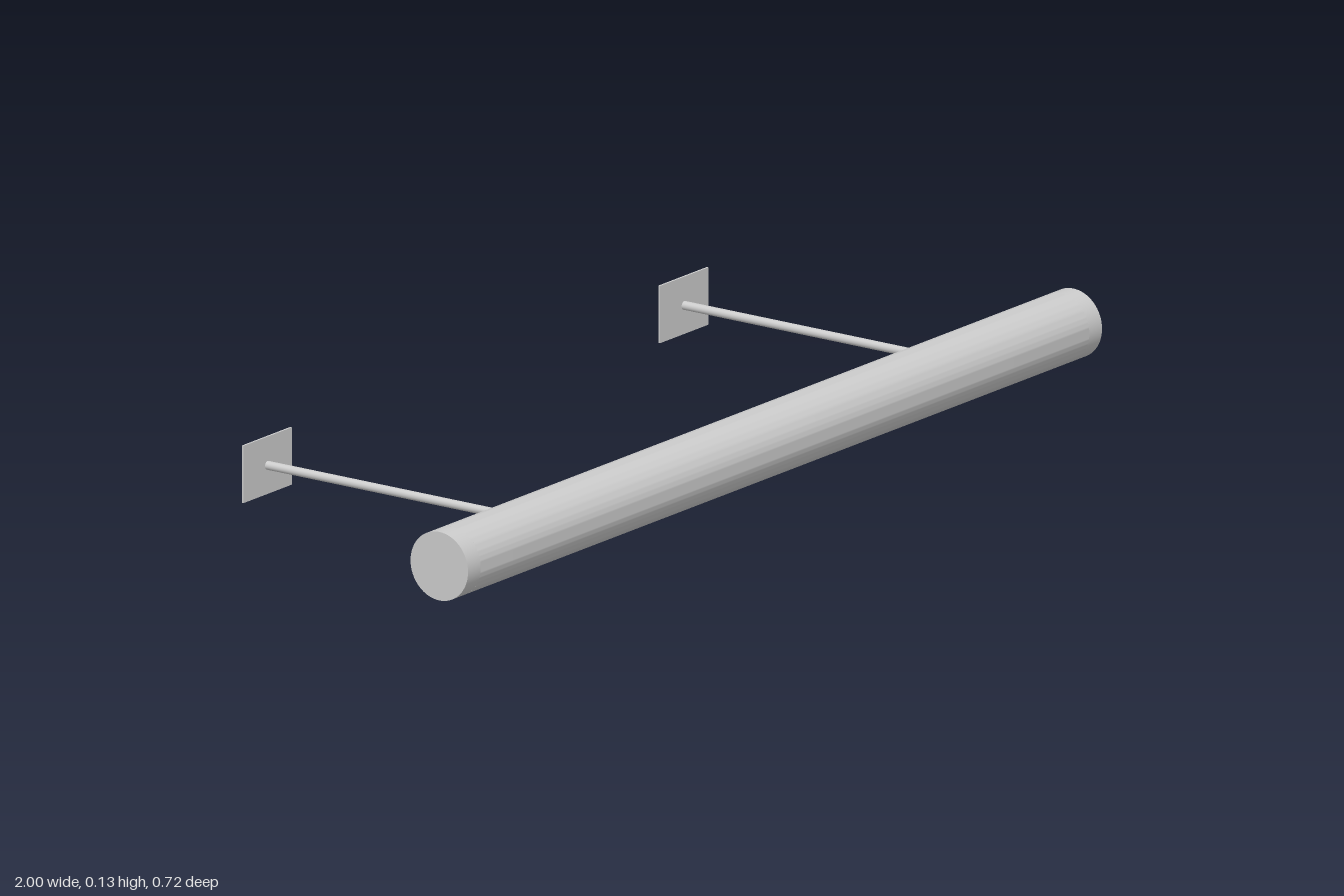
import * as THREE from 'three';
import { toCreasedNormals } from 'three/addons/utils/BufferGeometryUtils.js';

export function createModel() {
  const model = new THREE.Group();
  model.name = 'wallPictureLight';
  const material = new THREE.MeshStandardMaterial({ color: 0xcccccc });

  const R = 0.067, wall = 0.004, axisY = 0.067, axisZ = 0.295;
  const endLength = 0.04, slotLength = 2 - 2 * endLength;

  function add(name, geometry, x, y, z) {
    const mesh = new THREE.Mesh(geometry, material);
    mesh.name = name;
    mesh.position.set(x, y, z);
    model.add(mesh);
  }

  // Lamp shade: three-quarter tube, open towards the back and below
  const section = new THREE.Shape();
  section.absarc(0, 0, R, 0, Math.PI * 1.5, false);
  section.absarc(0, 0, R - wall, Math.PI * 1.5, 0, true);
  let shade = new THREE.ExtrudeGeometry(section, {
    depth: slotLength, bevelEnabled: false, curveSegments: 48,
  });
  shade = toCreasedNormals(shade, 0.5);
  shade.translate(0, 0, -slotLength / 2).rotateY(Math.PI / 2);
  add('lampShade', shade, 0, axisY, axisZ);

  for (const [side, s] of [['left', 1], ['right', -1]]) {
    // Closed drum at each end of the shade
    const end = new THREE.CylinderGeometry(R, R, endLength, 64).rotateZ(Math.PI / 2);
    add(side + 'EndCap', end, s * (1 - endLength / 2), axisY, axisZ);

    // Support arm from the wall plate to the back of the shade
    const front = axisZ - R + wall, back = -0.36;
    const arm = new THREE.CylinderGeometry(0.0085, 0.0085, front - back, 24).rotateX(Math.PI / 2);
    add(side + 'Arm', arm, s * 0.657, 0.068, (front + back) / 2);

    // Wall plate
    add(side + 'WallPlate', new THREE.BoxGeometry(0.152, 0.112, 0.004), s * 0.657, 0.068, -0.36);
  }
  return model;
}
